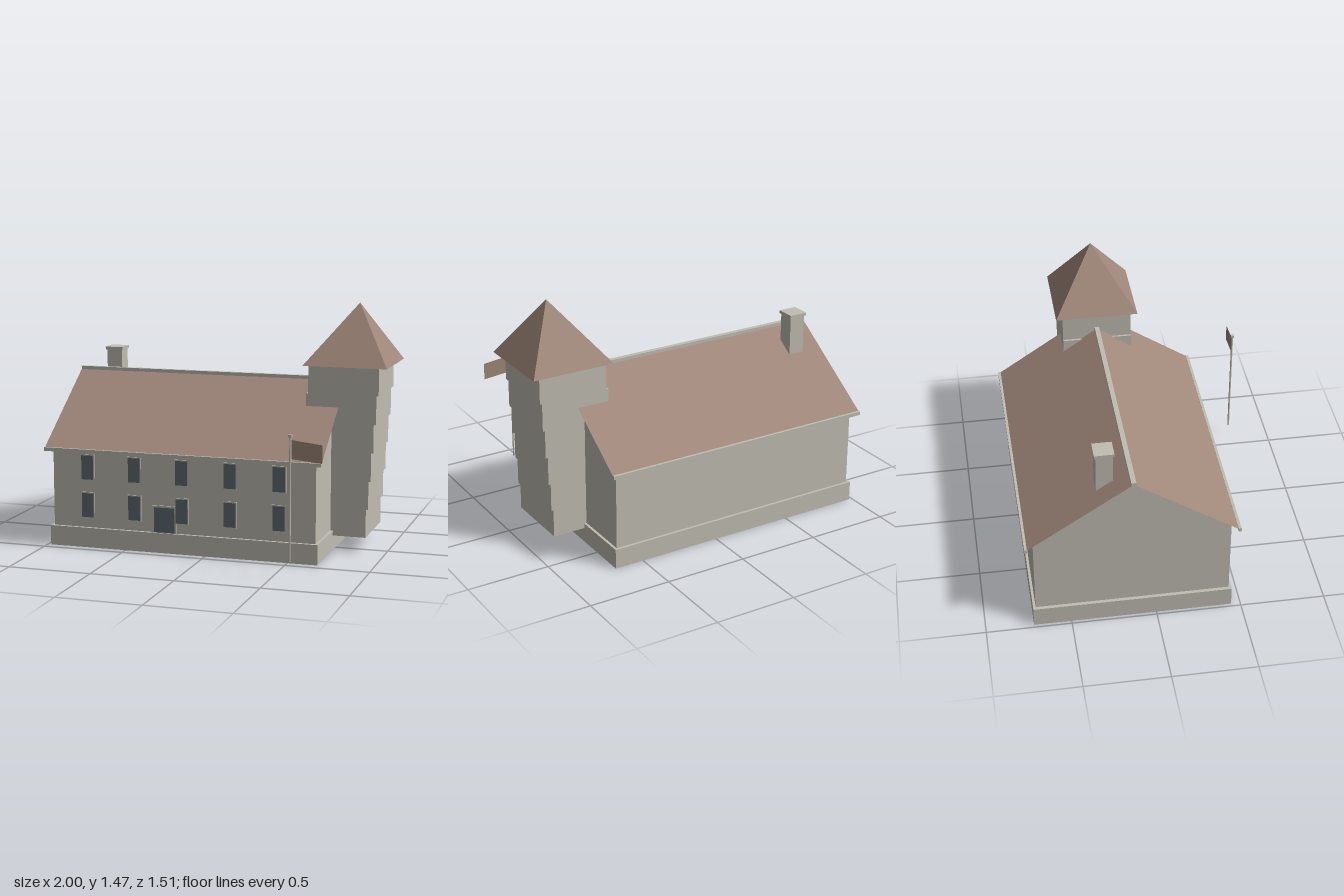
import * as THREE from 'three';

const mat = (name, color, side = THREE.DoubleSide) => {
  const m = new THREE.MeshStandardMaterial({ color, side });
  m.name = name;
  return m;
};

export function createModel() {
  const model = new THREE.Group();
  model.name = 'church';
  const stone = mat('stone', 0xc0bdb2);
  const tile = mat('roofTile', 0xa0877a);
  const glass = mat('darkGlass', 0x606b72);

  const add = (name, geometry, material) => {
    const mesh = new THREE.Mesh(geometry, material);
    mesh.name = name;
    model.add(mesh);
    return mesh;
  };
  // Box from its limits; open = leave out the bottom face
  const box = (name, material, x0, x1, y0, y1, z0, z1, open = false) => {
    const g = new THREE.BoxGeometry(x1 - x0, y1 - y0, z1 - z0);
    g.translate((x0 + x1) / 2, (y0 + y1) / 2, (z0 + z1) / 2);
    if (open) {
      g.setIndex([...g.index.array].filter((_, i) => i < 18 || i >= 24));
      g.clearGroups();
    }
    return add(name, g, material);
  };
  // Flat four-cornered sheet
  const sheet = (name, material, a, b, c, d) => {
    const g = new THREE.BufferGeometry();
    g.setAttribute('position', new THREE.Float32BufferAttribute([a, b, c, a, c, d].flat(), 3));
    g.computeVertexNormals();
    return add(name, g, material);
  };

  const ridgeZ = -0.138;

  // Plinth, hollow underneath
  box('plinth', stone, -0.98, 0.68, 0, 0.12, -0.72, 0.445, true);

  // Nave walls with gables, extruded along x
  const gable = new THREE.Shape();
  gable.moveTo(-0.43, 0.121);
  gable.lineTo(0.705, 0.121);
  gable.lineTo(0.705, 0.617);
  gable.lineTo(-ridgeZ, 0.995);
  gable.lineTo(-0.43, 0.617);
  const walls = new THREE.ExtrudeGeometry(gable, { depth: 1.625, bevelEnabled: false });
  walls.rotateY(Math.PI / 2).translate(-0.96, 0, 0);
  add('naveWalls', walls, stone);

  // Roof slopes with eave boards, front and back
  const rx0 = -1, rx1 = 0.705;
  for (const s of [1, -1]) {
    const z = ridgeZ + s * 0.605;
    const [l, r] = s > 0 ? [rx0, rx1] : [rx1, rx0];
    sheet(s > 0 ? 'frontRoof' : 'backRoof', tile,
      [l, 0.6, z], [r, 0.6, z], [r, 1.005, ridgeZ], [l, 1.005, ridgeZ]);
    const e = z + s * 0.005;
    box(s > 0 ? 'frontEave' : 'backEave', stone, rx0, rx1, 0.582, 0.604, e - 0.008, e + 0.008);
  }
  box('ridgeCap', stone, rx0, rx1, 0.995, 1.016, ridgeZ - 0.014, ridgeZ + 0.014);

  // Chimney
  box('chimney', stone, -0.868, -0.77, 0.82, 1.112, -0.332, -0.234);
  box('chimneyCap', stone, -0.877, -0.763, 1.112, 1.13, -0.341, -0.226);

  // Leaning tower: each stage shifted a little outwards
  for (let i = 0; i < 6; i++) {
    const x = 0.455 + i * 0.0132, y = 0.09 + i * 0.17;
    box('towerStage' + (i + 1), stone, x, x + 0.424, y, y + 0.17, -0.35, 0.073, true);
  }

  // Tower spire: a pyramid whose tip leans the same way
  const a = [0.494, 1.107, 0.113], b = [1, 1.107, 0.113];
  const c = [1, 1.107, -0.392], d = [0.494, 1.107, -0.392], tip = [0.78, 1.465, ridgeZ];
  const spire = new THREE.BufferGeometry();
  spire.setAttribute('position', new THREE.Float32BufferAttribute(
    [a, b, tip, b, c, tip, c, d, tip, d, a, tip, a, d, c, a, c, b].flat(), 3));
  spire.computeVertexNormals();
  add('spire', spire, tile);

  // Two rows of windows: frame plate and glass plate
  for (let i = 0; i < 5; i++) {
    const x = -0.74 + i * 0.2965;
    for (const y of [0.185, 0.415]) {
      box('windowFrame', stone, x - 0.043, x + 0.043, y - 0.006, y + 0.152, 0.429, 0.436);
      box('windowGlass', glass, x - 0.037, x + 0.037, y, y + 0.146, 0.433, 0.4405);
    }
  }

  // Door
  box('doorFrame', stone, -0.33, -0.178, 0.12, 0.285, 0.429, 0.4385);
  box('door', glass, -0.318, -0.19, 0.125, 0.275, 0.435, 0.4435);

  // Flagpole with flag
  const pole = new THREE.CylinderGeometry(0.006, 0.006, 0.71, 8);
  add('flagpole', pole, stone).position.set(0.595, 0.445, 0.742);
  box('flagpoleCap', stone, 0.585, 0.605, 0.796, 0.812, 0.732, 0.752);
  sheet('flag', tile, [0.6, 0.675, 0.742], [0.777, 0.658, 0.742],
    [0.777, 0.762, 0.742], [0.6, 0.782, 0.742]);

  return model;
}
